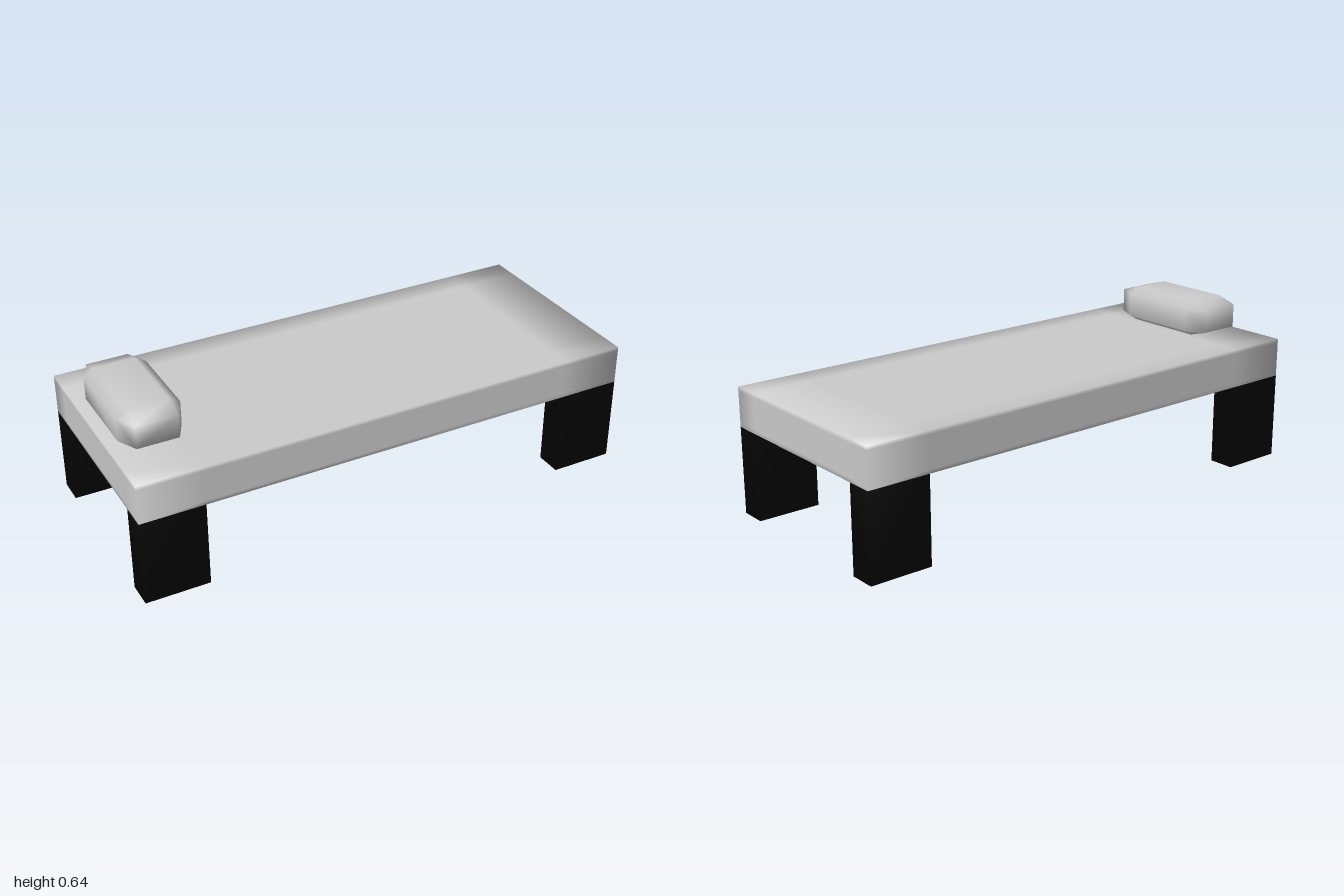
import * as THREE from 'three';
import { mergeVertices } from 'three/addons/utils/BufferGeometryUtils.js';
import { ConvexGeometry } from 'three/addons/geometries/ConvexGeometry.js';

const fabric = new THREE.MeshStandardMaterial({ color: 0xcccccc });
fabric.name = 'greyFabric';
const black = new THREE.MeshStandardMaterial({ color: 0x080808 });
black.name = 'blackLeg';

// grid lines that bound the slab, its edge loops and the legs
const GRID = [
  [-1, -0.75, 0.75, 1],
  [0, 0.34, 0.355, 0.48, 0.495],
  [-0.415, -0.31, 0.31, 0.415],
];

// a cell is solid in the whole slab, and only at the corners below it
function solid([i, j, k]) {
  if (i < 0 || i > 2 || k < 0 || k > 2 || j < 0 || j > 3) return false;
  return j > 0 || (i !== 1 && k !== 1);
}

// outer skin of the solid cells, with shared smooth normals; one index per colour
function bedSkin() {
  const ids = new Map(), positions = [], normals = [];
  const slabIndex = [], legIndex = [];
  const vertex = (c) => {
    const key = c.join();
    if (!ids.has(key)) {
      ids.set(key, ids.size);
      positions.push(...c.map((v, axis) => GRID[axis][v]));
      normals.push(0, 0, 0);
    }
    return ids.get(key);
  };

  for (let i = 0; i < 3; i++) for (let j = 0; j < 4; j++) for (let k = 0; k < 3; k++) {
    const cell = [i, j, k];
    if (!solid(cell)) continue;
    for (let axis = 0; axis < 3; axis++) for (const dir of [-1, 1]) {
      const next = [...cell];
      next[axis] += dir;
      if (solid(next)) continue;
      const u = (axis + 1) % 3, v = (axis + 2) % 3;
      const quad = [[0, 0], [1, 0], [1, 1], [0, 1]].map(([a, b]) => {
        const c = [...cell];
        c[axis] += dir > 0 ? 1 : 0;
        c[u] += a;
        c[v] += b;
        return vertex(c);
      });
      if (dir < 0) quad.reverse();
      quad.forEach((id) => { normals[id * 3 + axis] += dir; });
      const [a, b, c, d] = quad;
      (j === 0 ? legIndex : slabIndex).push(a, b, c, a, c, d);
    }
  }

  const build = (index) => {
    const g = new THREE.BufferGeometry();
    g.setAttribute('position', new THREE.Float32BufferAttribute(positions, 3));
    g.setAttribute('normal', new THREE.Float32BufferAttribute(normals, 3));
    g.setIndex(index);
    g.normalizeNormals();
    return g;
  };
  return { slab: build(slabIndex), legs: build(legIndex) };
}

// box with chamfered edges and corners, shaded smooth
function pillowGeometry() {
  const full = [0.12, 0.07, 0.24], flat = [0.08, 0.046, 0.16];
  const points = [];
  for (let axis = 0; axis < 3; axis++)
    for (const sx of [-1, 1]) for (const sy of [-1, 1]) for (const sz of [-1, 1]) {
      const p = [sx, sy, sz].map((s, a) => s * (a === axis ? full[a] : flat[a]));
      points.push(new THREE.Vector3(...p));
    }
  const hull = new ConvexGeometry(points);
  hull.deleteAttribute('normal');
  const smooth = mergeVertices(hull, 1e-4);
  smooth.computeVertexNormals();
  return smooth;
}

export function createModel() {
  const model = new THREE.Group();
  model.name = 'bed';
  const add = (name, geometry, material) => {
    const mesh = new THREE.Mesh(geometry, material);
    mesh.name = name;
    model.add(mesh);
    return mesh;
  };

  const { slab, legs } = bedSkin();
  add('mattress', slab, fabric);
  add('legs', legs, black);
  add('pillow', pillowGeometry(), fabric).position.set(-0.845, 0.57, 0.005);
  return model;
}
